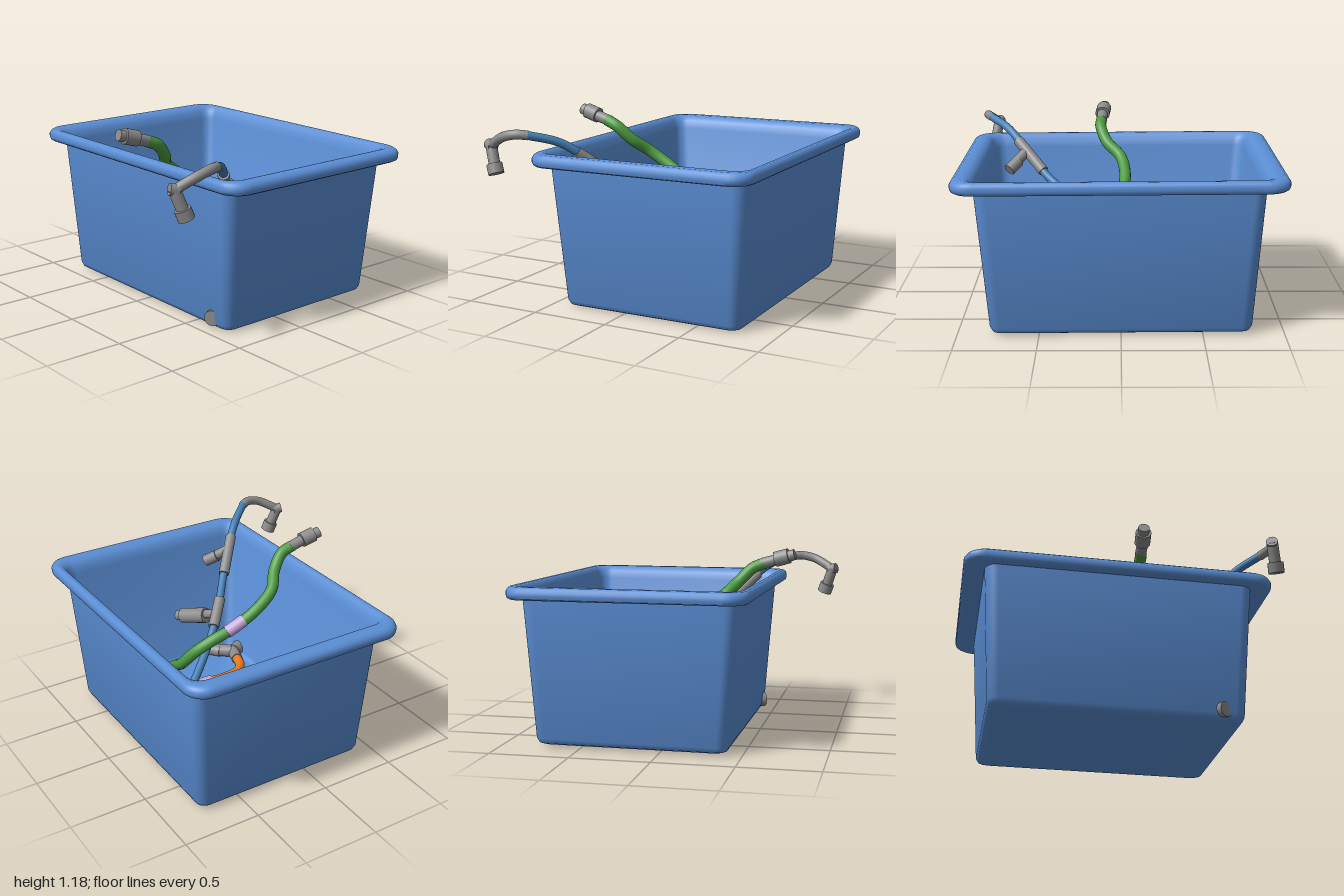
import * as THREE from 'three';
import { toCreasedNormals } from 'three/addons/utils/BufferGeometryUtils.js';

const paint = (name, color) => {
  const m = new THREE.MeshStandardMaterial({ color });
  m.name = name;
  return m;
};
const V = (p) => new THREE.Vector3(...p);

// Closed shell through rounded-rectangle rings: [half x, half z, corner radius, y]
function loftGeometry(rings, steps = 8) {
  const pos = [], idx = [], n = 4 * (steps + 1);
  for (const [hx, hz, r, y] of rings) {
    [[1, 1], [-1, 1], [-1, -1], [1, -1]].forEach(([sx, sz], q) => {
      for (let k = 0; k <= steps; k++) {
        const a = (q + k / steps) * Math.PI / 2;
        pos.push(sx * (hx - r) + r * Math.cos(a), y, sz * (hz - r) + r * Math.sin(a));
      }
    });
  }
  for (let i = 0; i < rings.length - 1; i++) {
    for (let j = 0; j < n; j++) {
      const k = (j + 1) % n, a = i * n + j, c = i * n + k;
      idx.push(a, a + n, c, a + n, c + n, c);
    }
  }
  const g = new THREE.BufferGeometry();
  g.setAttribute('position', new THREE.Float32BufferAttribute(pos, 3));
  g.setIndex(idx);
  return toCreasedNormals(g, 0.75);
}

export function createModel() {
  const model = new THREE.Group();
  model.name = 'binOfHoses';
  const blue = paint('binBlue', 0x5b8fd6);
  const grey = paint('fittingGrey', 0x8c8c8c);
  const orange = paint('hoseOrange', 0xf08020);
  const green = paint('hoseGreen', 0x4c9a40);
  const steel = paint('hoseBlue', 0x4580b5);
  const lilac = paint('clampLilac', 0xc4a8dc);

  const add = (name, geometry, material) => {
    const m = new THREE.Mesh(geometry, material);
    m.name = name;
    model.add(m);
    return m;
  };
  // Bent hose through points
  const hose = (name, pts, r, mat) => add(name,
    new THREE.TubeGeometry(new THREE.CatmullRomCurve3(pts.map(V)), pts.length * 8, r, 16), mat);
  // Straight cylinder between two points
  const rod = (name, a, b, r, mat = grey) => {
    const p = V(a), q = V(b), d = q.clone().sub(p);
    const m = add(name, new THREE.CylinderGeometry(r, r, d.length(), 24), mat);
    m.position.copy(p).add(q).multiplyScalar(0.5);
    m.quaternion.setFromUnitVectors(new THREE.Vector3(0, 1, 0), d.normalize());
    return m;
  };

  // Tapered bin with rolled rim, sitting very slightly tilted
  const bin = add('bin', loftGeometry([
    [0, 0, 0, 0], [0.56, 0.76, 0.05, 0], [0.588, 0.788, 0.06, 0.012], [0.602, 0.803, 0.07, 0.04],
    [0.662, 0.865, 0.08, 0.91], [0.715, 0.98, 0.12, 0.908], [0.728, 0.995, 0.13, 0.917],
    [0.7325, 1, 0.13, 0.935], [0.7325, 1, 0.13, 0.955], [0.727, 0.99, 0.13, 0.973],
    [0.712, 0.97, 0.12, 0.985], [0.69, 0.92, 0.1, 0.985], [0.675, 0.89, 0.09, 0.975],
    [0.66, 0.868, 0.08, 0.95], [0.645, 0.848, 0.07, 0.9], [0.588, 0.787, 0.06, 0.06],
    [0.575, 0.77, 0.05, 0.035], [0.55, 0.745, 0.04, 0.025], [0, 0, 0, 0.022],
  ]), blue);
  bin.position.set(0.183, 0.007, 0);
  bin.rotation.set(0.007, 0, 0.004);

  // Green hose lying along the back and +x side
  hose('floorGreenHose', [[-0.19, 0.1, -0.58], [-0.05, 0.1, -0.49], [0.1, 0.1, -0.47], [0.3, 0.1, -0.49],
    [0.45, 0.1, -0.47], [0.56, 0.1, -0.36], [0.64, 0.1, -0.17], [0.7, 0.1, 0], [0.715, 0.1, 0.15],
    [0.69, 0.1, 0.35], [0.69, 0.1, 0.45], [0.7, 0.1, 0.54]], 0.036, green);
  rod('floorGreenClamp', [0.62, 0.1, -0.22], [0.665, 0.1, -0.1], 0.04, lilac);
  rod('floorGreenSleeve', [0.7, 0.1, 0.53], [0.715, 0.1, 0.62], 0.04);
  rod('floorGreenNut', [0.712, 0.1, 0.61], [0.728, 0.1, 0.7], 0.05);
  rod('floorGreenTip', [0.728, 0.1, 0.69], [0.735, 0.1, 0.735], 0.03);
  rod('floorGreenBackSleeve', [-0.17, 0.1, -0.56], [-0.21, 0.1, -0.7], 0.042);
  rod('floorGreenBackCap', [-0.2, 0.1, -0.68], [-0.22, 0.1, -0.78], 0.04, lilac);

  // Green hose rising over the -x rim
  hose('risingGreenHose', [[-0.5, 1.085, 0.13], [-0.42, 1.05, 0.135], [-0.33, 0.96, 0.09], [-0.25, 0.88, 0],
    [-0.12, 0.79, -0.03], [0.04, 0.69, -0.01], [0.2, 0.62, 0.02], [0.3, 0.54, 0.07], [0.34, 0.42, 0.17],
    [0.3, 0.3, 0.34], [0.33, 0.2, 0.48], [0.45, 0.13, 0.62]], 0.038, green);
  rod('risingGreenClamp', [-0.02, 0.725, -0.02], [0.1, 0.665, -0.005], 0.042, lilac);
  rod('risingGreenSleeve', [-0.48, 1.08, 0.13], [-0.6, 1.115, 0.125], 0.036);
  rod('risingGreenNut', [-0.57, 1.11, 0.125], [-0.66, 1.135, 0.115], 0.05);
  rod('risingGreenTip', [-0.65, 1.13, 0.115], [-0.7, 1.145, 0.11], 0.036);
  rod('risingGreenEndSleeve', [0.43, 0.14, 0.6], [0.52, 0.11, 0.68], 0.042);
  rod('risingGreenEndCap', [0.57, 0.1, 0.63], [0.47, 0.12, 0.76], 0.055);

  // Upper orange hose crossing the bin
  hose('upperOrangeHose', [[-0.06, 0.34, -0.585], [0, 0.33, -0.58], [0.1, 0.31, -0.53], [0.25, 0.27, -0.41],
    [0.4, 0.22, -0.28], [0.55, 0.2, -0.17], [0.605, 0.19, -0.08], [0.6, 0.18, 0.01], [0.55, 0.17, 0.1],
    [0.47, 0.16, 0.2], [0.39, 0.15, 0.33], [0.38, 0.14, 0.42], [0.42, 0.13, 0.54], [0.47, 0.13, 0.61]], 0.033, orange);
  hose('upperOrangeElbow', [[-0.04, 0.34, -0.583], [-0.13, 0.345, -0.585], [-0.22, 0.35, -0.59],
    [-0.255, 0.35, -0.61], [-0.265, 0.35, -0.66]], 0.037, grey);
  rod('upperOrangeCollar', [-0.15, 0.345, -0.585], [-0.06, 0.34, -0.583], 0.041);
  rod('upperOrangeCap', [-0.265, 0.34, -0.64], [-0.265, 0.34, -0.74], 0.07);
  rod('upperOrangeClamp', [0.155, 0.295, -0.485], [0.215, 0.28, -0.435], 0.042, lilac);
  rod('clampBranch', [0.18, 0.29, -0.46], [0.13, 0.28, -0.39], 0.03, lilac);
  rod('clampBranchCap', [0.15, 0.28, -0.42], [0.11, 0.27, -0.35], 0.04, lilac);
  rod('middleClampBranch', [0.47, 0.25, -0.19], [0.53, 0.27, -0.29], 0.04, lilac);
  rod('middleClampTip', [0.52, 0.26, -0.27], [0.545, 0.28, -0.32], 0.03, lilac);
  rod('lowerClamp', [0.51, 0.165, 0.15], [0.43, 0.155, 0.27], 0.04, lilac);
  rod('upperOrangeEndSleeve', [0.45, 0.13, 0.59], [0.56, 0.12, 0.69], 0.042);
  rod('upperOrangeEndCap', [0.63, 0.1, 0.65], [0.57, 0.1, 0.76], 0.05);

  // Lower orange hose resting on the floor
  hose('lowerOrangeHose', [[0.4, 0.1, -0.5], [0.45, 0.1, -0.42], [0.47, 0.09, -0.25], [0.46, 0.08, 0],
    [0.44, 0.08, 0.15], [0.39, 0.08, 0.29], [0.27, 0.08, 0.355], [0.1, 0.08, 0.345], [-0.07, 0.08, 0.33],
    [-0.2, 0.08, 0.35], [-0.27, 0.08, 0.42], [-0.3, 0.08, 0.52]], 0.034, orange);
  rod('lowerOrangeClamp', [0.02, 0.08, 0.34], [0.14, 0.08, 0.347], 0.04, lilac);
  rod('sideClamp', [0.45, 0.08, 0.09], [0.435, 0.08, 0.17], 0.042, lilac);
  rod('sideClampBranch', [0.44, 0.08, 0.135], [0.59, 0.09, 0.14], 0.035, lilac);
  rod('looseClamp', [0.3, 0.1, -0.27], [0.37, 0.1, -0.27], 0.035, lilac);
  rod('lowerOrangeSleeve', [0.43, 0.1, -0.47], [0.3, 0.11, -0.6], 0.042);
  rod('lowerOrangeNeck', [0.26, 0.12, -0.62], [0.3, 0.12, -0.69], 0.045);
  rod('lowerOrangeCap', [0.28, 0.13, -0.67], [0.34, 0.13, -0.77], 0.065);
  rod('frontSleeve', [-0.295, 0.08, 0.5], [-0.34, 0.075, 0.64], 0.04);
  rod('frontCap', [-0.34, 0.07, 0.62], [-0.43, 0.065, 0.67], 0.05);
  rod('frontNeck', [-0.32, 0.08, 0.62], [-0.22, 0.08, 0.7], 0.045);
  rod('frontTip', [-0.25, 0.08, 0.66], [-0.18, 0.08, 0.75], 0.042);

  // Thin blue hose leaning out over the front corner
  hose('blueHose', [[0.56, 0.27, -0.16], [0.45, 0.31, -0.07], [0.2, 0.46, 0.12], [0, 0.62, 0.29],
    [-0.18, 0.77, 0.5], [-0.33, 0.93, 0.66], [-0.45, 1.03, 0.77], [-0.61, 1.085, 0.91]], 0.027, steel);
  hose('blueHoseBend', [[-0.59, 1.08, 0.895], [-0.66, 1.085, 0.93], [-0.75, 1.065, 0.935],
    [-0.83, 1.025, 0.905], [-0.885, 0.99, 0.88]], 0.03, grey);
  rod('bendElbow', [-0.91, 1.0, 0.87], [-0.86, 0.99, 0.89], 0.036);
  rod('bendDrop', [-0.885, 1.0, 0.88], [-0.835, 0.85, 0.91], 0.036);
  rod('bendNut', [-0.847, 0.885, 0.905], [-0.825, 0.825, 0.915], 0.05);
  rod('blueSleeve', [0.54, 0.28, -0.14], [0.64, 0.23, -0.29], 0.036);
  rod('blueNut', [0.62, 0.24, -0.26], [0.675, 0.22, -0.35], 0.045);
  rod('blueCap', [0.66, 0.22, -0.33], [0.705, 0.2, -0.4], 0.06);

  // Tees on the blue hose
  rod('upperTeeSleeve', [-0.2, 0.79, 0.52], [-0.37, 0.965, 0.7], 0.036);
  rod('upperTeeBranch', [-0.31, 0.9, 0.64], [-0.24, 0.84, 0.71], 0.035);
  rod('upperTeeCap', [-0.25, 0.85, 0.69], [-0.19, 0.8, 0.75], 0.04);
  rod('lowerTeeSleeve', [0.055, 0.575, 0.24], [-0.08, 0.69, 0.38], 0.037);
  rod('lowerTeeBranch', [-0.01, 0.62, 0.32], [0.03, 0.58, 0.43], 0.03);
  rod('lowerTeeCap', [0.02, 0.58, 0.4], [0.1, 0.52, 0.58], 0.052);
  rod('lowerTeeTip', [0.1, 0.52, 0.57], [0.12, 0.51, 0.62], 0.035);

  return model;
}
